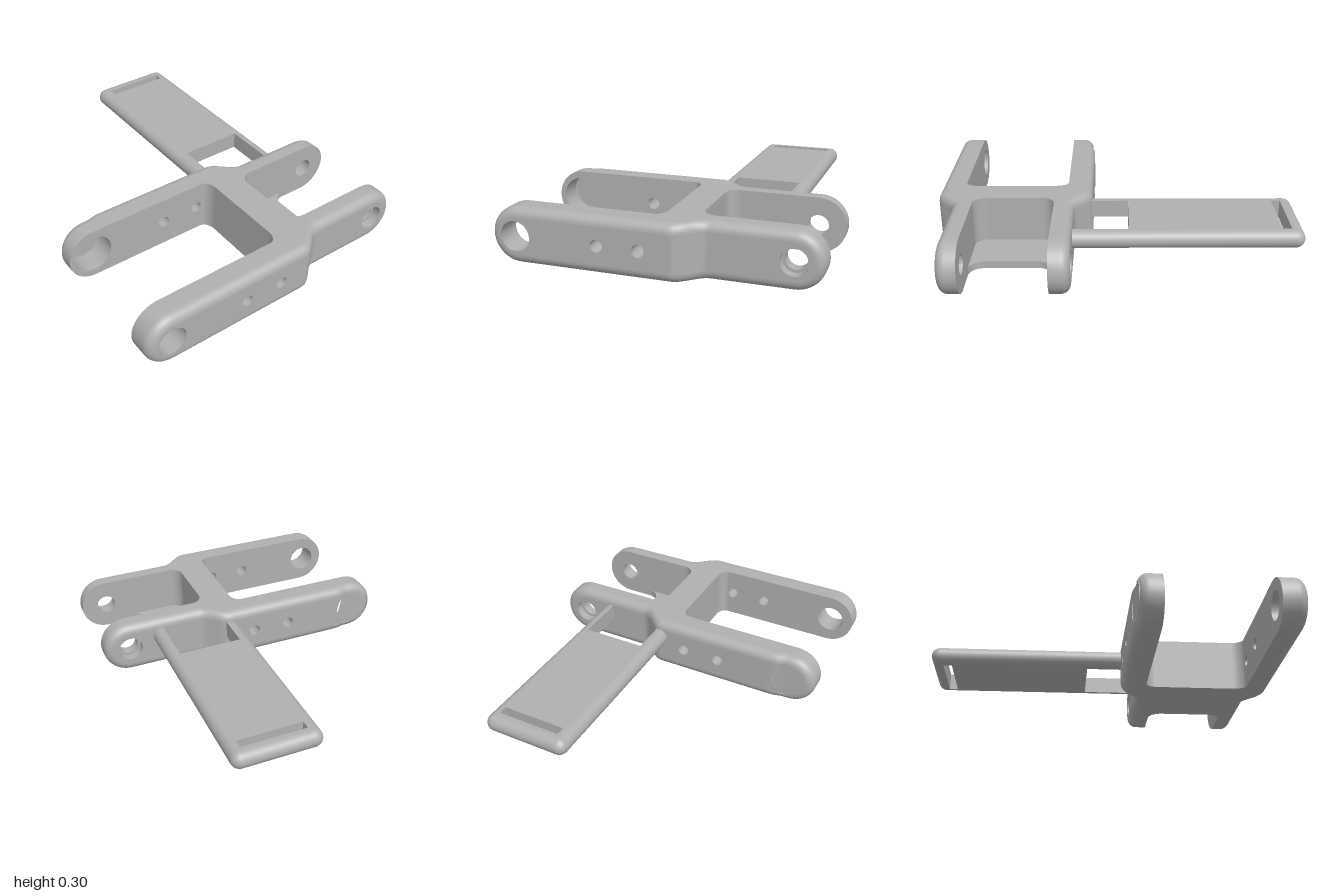
import * as THREE from 'three';

const CX = 0.565, R = 0.15, END = 0.7, FILLET = 0.05, MID = 0.15;
const metal = new THREE.MeshStandardMaterial({ color: 0xb0b0b0, side: THREE.DoubleSide });
metal.name = 'grey metal';

function add(group, geometry, name) {
  const mesh = new THREE.Mesh(geometry, metal);
  mesh.name = name;
  group.add(mesh);
}

// Smooth skin through rows of points; closed joins the ends of each row
function skin(rows, closed) {
  const n = rows[0].length, index = [];
  for (let i = 0; i < rows.length - 1; i++) {
    for (let j = 0; j < (closed ? n : n - 1); j++) {
      const a = i * n + j, b = i * n + (j + 1) % n;
      index.push(a, b, a + n, b, b + n, a + n);
    }
  }
  const g = new THREE.BufferGeometry();
  g.setAttribute('position', new THREE.Float32BufferAttribute(rows.flat(2), 3));
  g.setIndex(index);
  g.computeVertexNormals();
  return g;
}

// Flat slab from plan points [x, z]
function slab(points, y, height, holes = []) {
  const toV = ([x, z]) => new THREE.Vector2(x, -z);
  const shape = new THREE.Shape(points.map(toV));
  holes.forEach(h => shape.holes.push(new THREE.Path(h.map(toV))));
  const g = new THREE.ExtrudeGeometry(shape, { depth: height, bevelEnabled: false });
  return g.rotateX(-Math.PI / 2).translate(0, y, 0);
}

function arc(cx, cz, rx, rz, from, to, n = 12) {
  return Array.from({ length: n + 1 }, (_, i) => {
    const a = from + (to - from) * i / n;
    return [cx + rx * Math.cos(a), cz + rz * Math.sin(a)];
  });
}

// Side profile of an arm: a stadium in [z, y]
function stadium(inset) {
  const r = R - inset, p = [];
  for (let i = -35; i <= 35; i++) p.push([i / 50, MID + r]);
  for (let i = 1; i < 24; i++) {
    const a = Math.PI * i / 24;
    p.push([END + r * Math.sin(a), MID + r * Math.cos(a)]);
  }
  for (let i = 35; i >= -35; i--) p.push([i / 50, MID - r]);
  for (let i = 1; i < 24; i++) {
    const a = Math.PI * i / 24;
    p.push([-END - r * Math.sin(a), MID - r * Math.cos(a)]);
  }
  return p;
}

function makeArm(side, name) {
  const group = new THREE.Group();
  group.name = name;
  const step = THREE.MathUtils.smoothstep;
  const spot = side < 0 ? 0.015 : 0;
  const outer = z => 0.335 + 0.1 * step(z, -0.28, -0.12) - spot * step(z, 0.6, 0.68);
  const inner = z => (z > -0.11 ? 0.295 : 0.225);
  const at = (w, y, z) => [CX + side * w, y, z];

  // Rim with a rounded outer edge
  const rows = [stadium(0).map(([z, y]) => at(inner(z), y, z))];
  for (let i = 0; i <= 8; i++) {
    const a = Math.PI / 2 * i / 8;
    rows.push(stadium(FILLET * (1 - Math.cos(a)))
      .map(([z, y]) => at(outer(z) - FILLET * (1 - Math.sin(a)), y, z)));
  }
  add(group, skin(rows, true), 'armRim');

  // Side faces with holes
  const face = (inset, z0, z1, holes, width, label) => {
    const shape = new THREE.Shape(stadium(inset)
      .filter(([z]) => z > z0 - 1e-6 && z < z1 + 1e-6)
      .map(([z, y]) => new THREE.Vector2(z, y)));
    for (const [z, r] of holes) shape.holes.push(new THREE.Path().absarc(z, MID, r, 0, Math.PI * 2, true));
    const g = new THREE.ShapeGeometry(shape, 16);
    const p = g.attributes.position;
    for (let i = 0; i < p.count; i++) {
      const z = p.getX(i);
      p.setXYZ(i, ...at(width(z), p.getY(i), z));
    }
    // The winding turns over when the profile maps onto +x
    if (side > 0) g.index.array.reverse();
    g.computeVertexNormals();
    add(group, g, label);
  };
  const pin = [0.71, side < 0 ? 0.11 : 0.08];
  const small = [[0.26, 0.033], [0.04, 0.033]];
  face(FILLET, 0.58, 1, [pin], outer, 'frontOuterFace');
  face(FILLET, -0.1, 0.58, small, outer, 'middleOuterFace');
  face(FILLET, -1, -0.3, [[-0.7, 0.07]], outer, 'rearOuterFace');
  face(0, -0.1, 1, [pin, ...small], inner, 'frontInnerFace');
  face(0, -1, -0.12, [[-0.7, 0.055]], inner, 'rearInnerFace');

  // Curved shoulder between the wide and narrow parts
  const shoulder = [-1, 1].map(s => Array.from({ length: 21 }, (_, i) => {
    const z = -0.3 + i * 0.01;
    return at(outer(z), MID + s * (R - FILLET), z);
  }));
  add(group, skin(shoulder, false), 'shoulder');

  // Hole walls
  const ring = (z, r, width) => arc(z, MID, r, r, 0, Math.PI * 2 * 31 / 32, 31)
    .map(([hz, hy]) => at(width(hz), hy, hz));
  for (const [z, r] of [pin, ...small]) add(group, skin([ring(z, r, inner), ring(z, r, outer)], true), 'holeWall');
  const seat = () => 0.285;
  add(group, skin([ring(-0.7, 0.055, inner), ring(-0.7, 0.055, seat)], true), 'rearHoleWall');
  add(group, skin([ring(-0.7, 0.055, seat), ring(-0.7, 0.07, seat)], true), 'counterboreSeat');
  add(group, skin([ring(-0.7, 0.07, seat), ring(-0.7, 0.07, outer)], true), 'counterboreWall');
  return group;
}

// Full symmetric outline from its +x half
const mirrored = half => [
  ...half.map(([w, z]) => [CX + w, z]),
  ...half.slice().reverse().map(([w, z]) => [CX - w, z]),
];

function makePlate() {
  const group = new THREE.Group();
  group.name = 'sidePlate';
  const core = [[-0.95, -0.51], [0.28, -0.51], [0.28, -0.5], [-0.07, -0.5],
    [-0.07, -0.14], [0.2, -0.14], [0.2, -0.12], [-0.95, -0.12]];
  const slot = [[-0.93, -0.5], [-0.88, -0.5], [-0.88, -0.14], [-0.93, -0.14]];
  add(group, slab(core, 0.15, 0.1, [slot]), 'plateCore');

  // Half-round border along three sides
  const path = [[0.2, -0.12, Math.PI / 2]];
  for (let i = 0; i <= 8; i++) path.push([-0.95, -0.12, Math.PI / 2 * (1 + i / 8)]);
  for (let i = 0; i <= 8; i++) path.push([-0.95, -0.51, Math.PI / 2 * (2 + i / 8)]);
  path.push([0.28, -0.51, Math.PI * 1.5]);
  const rows = path.map(([x, z, d]) => Array.from({ length: 17 }, (_, i) => {
    const a = Math.PI * (i / 16 - 0.5), r = 0.05 * Math.cos(a);
    return [x + r * Math.cos(d), 0.2 + 0.05 * Math.sin(a), z + r * Math.sin(d)];
  }));
  add(group, skin(rows, false), 'roundedBorder');
  return group;
}

export function createModel() {
  const model = new THREE.Group();
  model.name = 'forkBracket';
  model.add(makeArm(1, 'leftArm'), makeArm(-1, 'rightArm'));

  // Bridge joining the arms, with concave corners
  const bridge = [
    ...arc(0.225, 0.007, 0.07, 0.047, -Math.PI / 2, 0),
    [0.31, 0.007], [0.31, -0.16], [0.25, -0.16], [0.25, -0.28],
    ...arc(0.155, -0.28, 0.07, 0.07, 0, Math.PI / 2),
  ];
  add(model, slab(mirrored(bridge), 0, 0.3), 'bridge');

  // Thin floor between the rear arms
  const floor = [
    [0.25, -0.2], [0.25, -0.55],
    ...arc(0.145, -0.55, 0.08, 0.08, 0, Math.PI / 2),
  ];
  add(model, slab(mirrored(floor), 0, 0.04), 'rearFloor');

  model.add(makePlate());
  return model;
}
